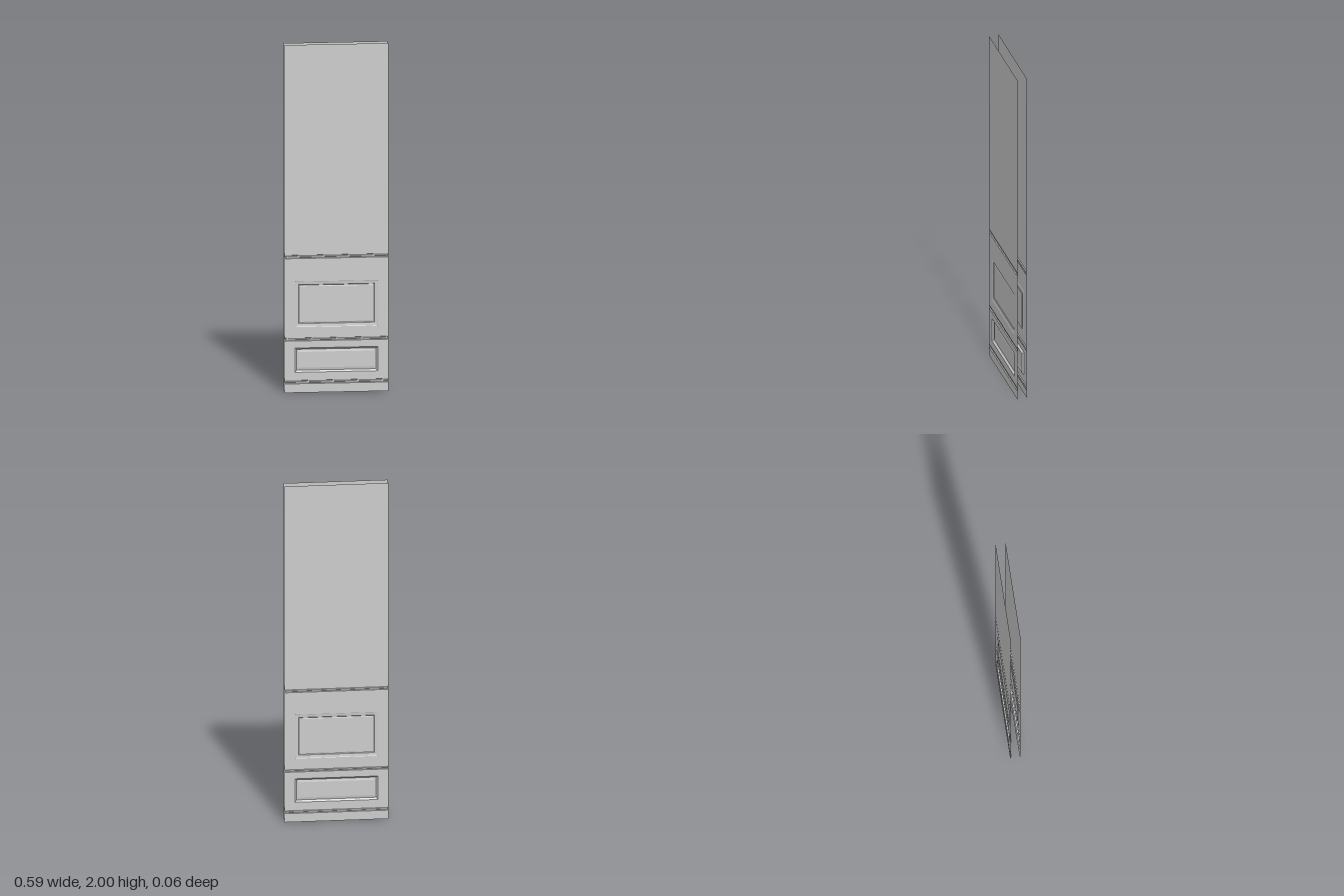
import * as THREE from 'three';

const material = new THREE.MeshStandardMaterial({ color: 0xcccccc, flatShading: true, side: THREE.DoubleSide });
const HALF = 0.295, FACE_Z = 0.0285;

// Recesses: outer rectangle plus [inset, depth] steps towards the middle
const rail = (name, y0, y1) => ({
  name, x: 0.2925, y0, y1,
  steps: [[0, 0], [0.002, 0.006], [0.005, 0.006], [0.007, 0.003]],
});
const recesses = [
  rail('upperRailGroove', 0.771, 0.791),
  rail('middleRailGroove', 0.297, 0.315),
  rail('baseRailGroove', 0.051, 0.071),
  {
    name: 'upperPanel', x: 0.234, y0: 0.377, y1: 0.639,
    steps: [[0, 0], [0.002, 0.001], [0.019, 0.003], [0.022, 0.006], [0.026, 0.006], [0.029, 0.005]],
  },
  {
    name: 'lowerPanel', x: 0.235, y0: 0.117, y1: 0.257,
    steps: [[0, 0], [0.005, 0.005], [0.01, 0.011], [0.025, 0.008], [0.028, 0.008]],
  },
];

const rectangle = ({ x, y0, y1 }, inset, depth) => [
  [-x + inset, y0 + inset, -depth], [x - inset, y0 + inset, -depth],
  [x - inset, y1 - inset, -depth], [-x + inset, y1 - inset, -depth],
];

// Nested rectangles joined by sloping bands, closed with a flat field
function recessGeometry(recess) {
  const positions = [];
  const quad = (a, b, c, d) => positions.push(...a, ...b, ...c, ...a, ...c, ...d);
  const loops = recess.steps.map(([inset, depth]) => rectangle(recess, inset, depth));
  for (let i = 0; i + 1 < loops.length; i++) {
    for (let k = 0; k < 4; k++) {
      const n = (k + 1) % 4;
      quad(loops[i][k], loops[i][n], loops[i + 1][n], loops[i + 1][k]);
    }
  }
  quad(...loops[loops.length - 1]);
  const geometry = new THREE.BufferGeometry();
  geometry.setAttribute('position', new THREE.Float32BufferAttribute(positions, 3));
  geometry.computeVertexNormals();
  return geometry;
}

function addMesh(parent, geometry, name) {
  const mesh = new THREE.Mesh(geometry, material);
  mesh.name = name;
  parent.add(mesh);
}

// One door skin: a thin sheet with openings, filled by the recesses
function createSkin(name) {
  const skin = new THREE.Group();
  skin.name = name;
  const outline = new THREE.Shape([
    new THREE.Vector2(-HALF, 0), new THREE.Vector2(HALF, 0),
    new THREE.Vector2(HALF, 2), new THREE.Vector2(-HALF, 2),
  ]);
  for (const recess of recesses) {
    const corners = rectangle(recess, 0, 0).map(([x, y]) => new THREE.Vector2(x, y));
    outline.holes.push(new THREE.Path(corners.reverse()));
  }
  addMesh(skin, new THREE.ShapeGeometry(outline), 'flatSheet');
  for (const recess of recesses) addMesh(skin, recessGeometry(recess), recess.name);
  return skin;
}

export function createModel() {
  const door = new THREE.Group();
  door.name = 'panelledDoor';
  const front = createSkin('frontSkin');
  front.position.z = FACE_Z;
  const back = createSkin('backSkin');
  back.rotation.y = Math.PI;
  back.position.z = -FACE_Z;
  door.add(front, back);
  return door;
}
